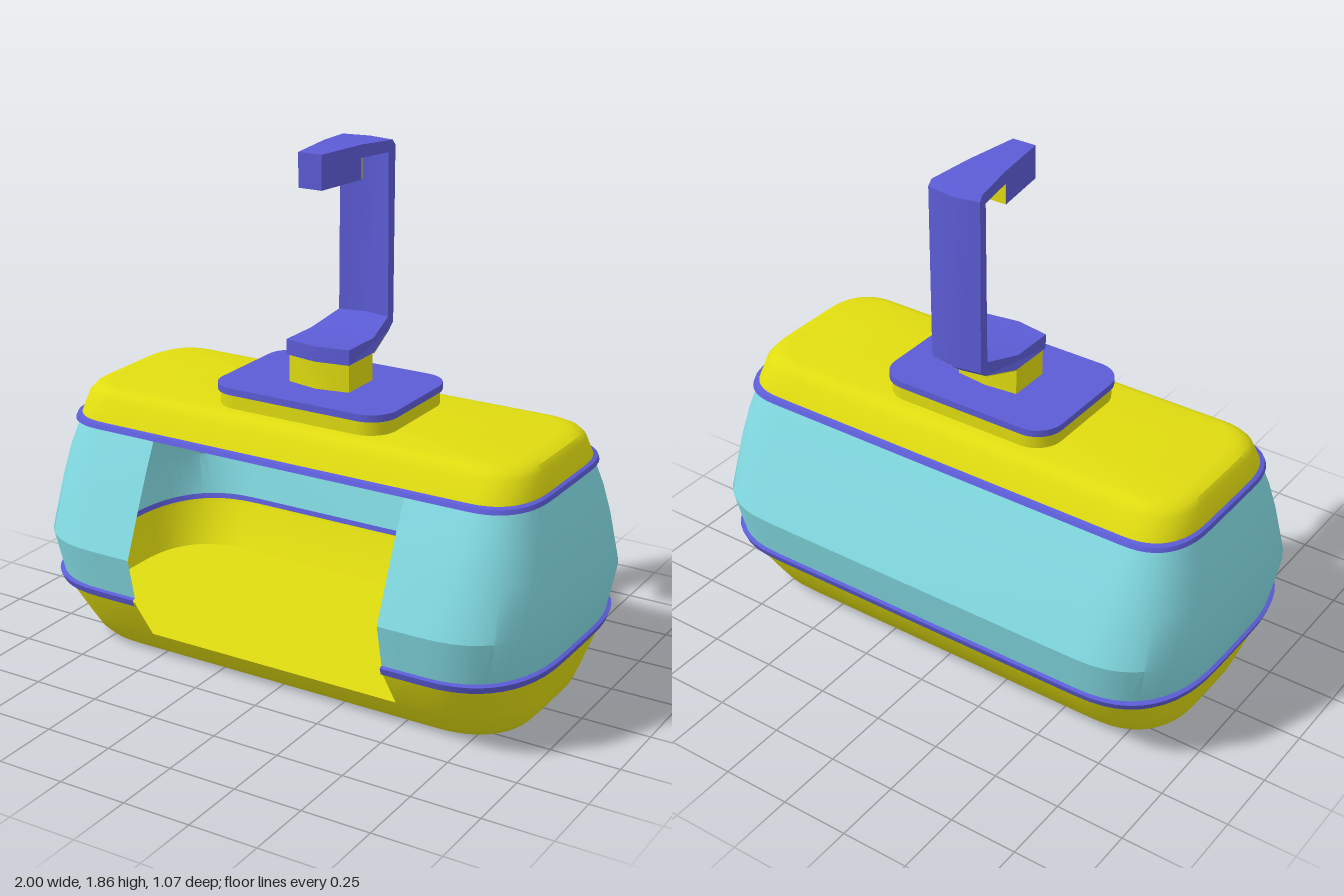
import * as THREE from 'three';
import { toCreasedNormals } from 'three/addons/utils/BufferGeometryUtils.js';

const material = (name, color) => {
  const m = new THREE.MeshStandardMaterial({ color, side: THREE.DoubleSide });
  m.name = name;
  return m;
};

const DOOR = 0.5; // half width of the front opening

// Rounded outline at one height, running from the right door edge around the back to the left one
function ring([y, hx, hz, rx, rz]) {
  const pts = [], n = 12, door = Math.min(DOOR, hx);
  const corner = (sx, sz, reverse) => {
    for (let i = 0; i <= n; i++) {
      const a = ((reverse ? n - i : i) / n) * Math.PI / 2;
      const u = Math.pow(Math.max(Math.sin(a), 0), 0.8), v = Math.pow(Math.max(Math.cos(a), 0), 0.8);
      pts.push([sx * (hx - rx + rx * u), y, sz * (hz - rz + rz * v)]);
    }
  };
  pts.push([door, y, hz]);
  corner(1, 1, false);
  corner(1, -1, true);
  corner(-1, -1, false);
  corner(-1, 1, true);
  pts.push([-door, y, hz]);
  return pts;
}

// Skin between outlines; closed also fills the front strip between the door edges
function loft(rows, closed) {
  const rings = rows.map(ring), pos = [];
  for (let r = 0; r + 1 < rings.length; r++) {
    const lo = rings[r], hi = rings[r + 1], n = lo.length;
    for (let i = 0; i < (closed ? n : n - 1); i++) {
      const j = (i + 1) % n;
      pos.push(...lo[i], ...lo[j], ...hi[j], ...lo[i], ...hi[j], ...hi[i]);
    }
  }
  const g = new THREE.BufferGeometry();
  g.setAttribute('position', new THREE.Float32BufferAttribute(pos, 3));
  return toCreasedNormals(g, 0.5);
}

// Trim ring standing slightly proud of the shell
function band(lo, hi, closed) {
  const out = ([y, hx, hz, rx, rz], dy) => [y + dy, hx + 0.012, hz + 0.012, rx, rz];
  return loft([lo, out(lo, 0.005), out(hi, -0.005), hi], closed);
}

// Horizontal slab from a plan shape, between two heights
function slab(shape, y0, y1) {
  const g = new THREE.ExtrudeGeometry(shape, { depth: y1 - y0, bevelEnabled: false, curveSegments: 8 });
  return toCreasedNormals(g.rotateX(-Math.PI / 2).translate(0, y0, 0), 0.5);
}

function roundedRect(hx, hz, r) {
  const s = new THREE.Shape();
  s.absarc(hx - r, hz - r, r, 0, Math.PI / 2);
  s.absarc(r - hx, hz - r, r, Math.PI / 2, Math.PI);
  s.absarc(r - hx, r - hz, r, Math.PI, Math.PI * 1.5);
  s.absarc(hx - r, r - hz, r, Math.PI * 1.5, Math.PI * 2);
  s.closePath();
  return s;
}

// Side profile in (z, y), spread across x with a width that varies along the arm
function armPiece(profile) {
  const shape = new THREE.Shape(profile.map(([z, y]) => new THREE.Vector2(-z, y)));
  let g = new THREE.ExtrudeGeometry(shape, { depth: 2, steps: 2, bevelEnabled: false });
  g.translate(0, 0, -1).rotateY(Math.PI / 2);
  const p = g.attributes.position;
  for (let i = 0; i < p.count; i++) {
    const side = p.getX(i), y = p.getY(i), z = p.getZ(i);
    const w = y > 1.5
      ? 0.1 - 0.055 * (z + 0.27) / 0.4
      : THREE.MathUtils.mapLinear(THREE.MathUtils.clamp(z, -0.24, -0.08), -0.24, -0.08, 0.1, 0.125);
    p.setX(i, side * w);
    // bowed back of the bar and bowed front of the foot
    if (Math.abs(side) > 0.5) {
      if (z < -0.2) p.setZ(i, z + 0.018);
      else if (y < 1.5 && z > 0.05) p.setZ(i, z - 0.02);
    }
  }
  return toCreasedNormals(g, 0.4);
}

export function createModel() {
  const yellow = material('yellow paint', 0xe0dc10);
  const blue = material('blue trim', 0x5c5cd6);
  const teal = material('teal panel', 0x82dae2);
  const model = new THREE.Group();
  model.name = 'cableCar';
  const add = (name, geometry, mat) => {
    const mesh = new THREE.Mesh(geometry, mat);
    mesh.name = name;
    model.add(mesh);
  };

  // Outlines: y, half width, half depth, corner radii in x and z
  const floor = [0.105, 0.913, 0.403, 0.29, 0.32];
  const sill = [0.25, 0.962, 0.494, 0.33, 0.4];
  const sillIn = [0.265, 0.966, 0.499, 0.33, 0.41];
  const waistLow = [0.285, 0.97, 0.502, 0.33, 0.41];
  const eave = [0.83, 0.912, 0.364, 0.2, 0.24];
  const eaveTop = [0.855, 0.907, 0.355, 0.19, 0.23];

  // Cabin
  add('lowerHull', loft([
    [0, 0, 0, 0, 0],
    [0, 0.835, 0.31, 0.24, 0.24],
    [0.012, 0.865, 0.335, 0.26, 0.26],
    [0.04, 0.888, 0.36, 0.27, 0.28],
    floor,
  ], true), yellow);
  add('lowerWall', loft([floor, sill, sillIn], false), yellow);
  add('cabinFloor', loft([floor, [0.105, 0, 0, 0, 0]], true), yellow);
  add('lowerBand', band(sill, waistLow, false), blue);
  add('cabinWall', loft([
    waistLow,
    [0.44, 1, 0.535, 0.35, 0.45],
    [0.62, 0.973, 0.46, 0.29, 0.36],
    [0.73, 0.944, 0.412, 0.24, 0.29],
    eave,
  ], false), teal);
  add('upperBand', band(eave, eaveTop, true), blue);
  add('roof', loft([
    eaveTop,
    [0.925, 0.888, 0.316, 0.17, 0.2],
    [0.945, 0.872, 0.298, 0.16, 0.19],
    [0.956, 0.845, 0.28, 0.15, 0.18],
    [0.96, 0.81, 0.26, 0.14, 0.17],
    [0.96, 0, 0, 0, 0],
  ], true), yellow);

  // Roof mount
  add('mountPlate', slab(roundedRect(0.343, 0.242, 0.1), 0.955, 1.01), yellow);
  add('mountTrim', slab(roundedRect(0.35, 0.248, 0.1), 1.01, 1.035), blue);
  const foot = new THREE.Shape([[-0.12, -0.075], [0, -0.098], [0.12, -0.075], [0.12, 0.085], [0, 0.098], [-0.12, 0.085]]
    .map(([x, y]) => new THREE.Vector2(x, y)));
  add('mountBlock', slab(foot, 1.03, 1.138), yellow);

  // Hanger arm
  add('hangerArm', armPiece([
    [0.105, 1.135], [-0.09, 1.135], [-0.255, 1.178], [-0.28, 1.2],
    [-0.28, 1.83], [-0.265, 1.85], [-0.08, 1.86], [0.13, 1.86], [0.13, 1.74],
    [-0.08, 1.74], [-0.08, 1.815], [-0.243, 1.81], [-0.243, 1.225], [-0.08, 1.19], [0.105, 1.19],
  ]), blue);
  // Painted faces under the arm and behind the hook
  add('armUnderside', armPiece([[-0.09, 1.135], [-0.09, 1.131], [-0.25, 1.173], [-0.25, 1.177]]), yellow);
  add('hookPad', armPiece([[-0.08, 1.742], [-0.08, 1.813], [-0.085, 1.813], [-0.085, 1.742]]), yellow);

  return model;
}
